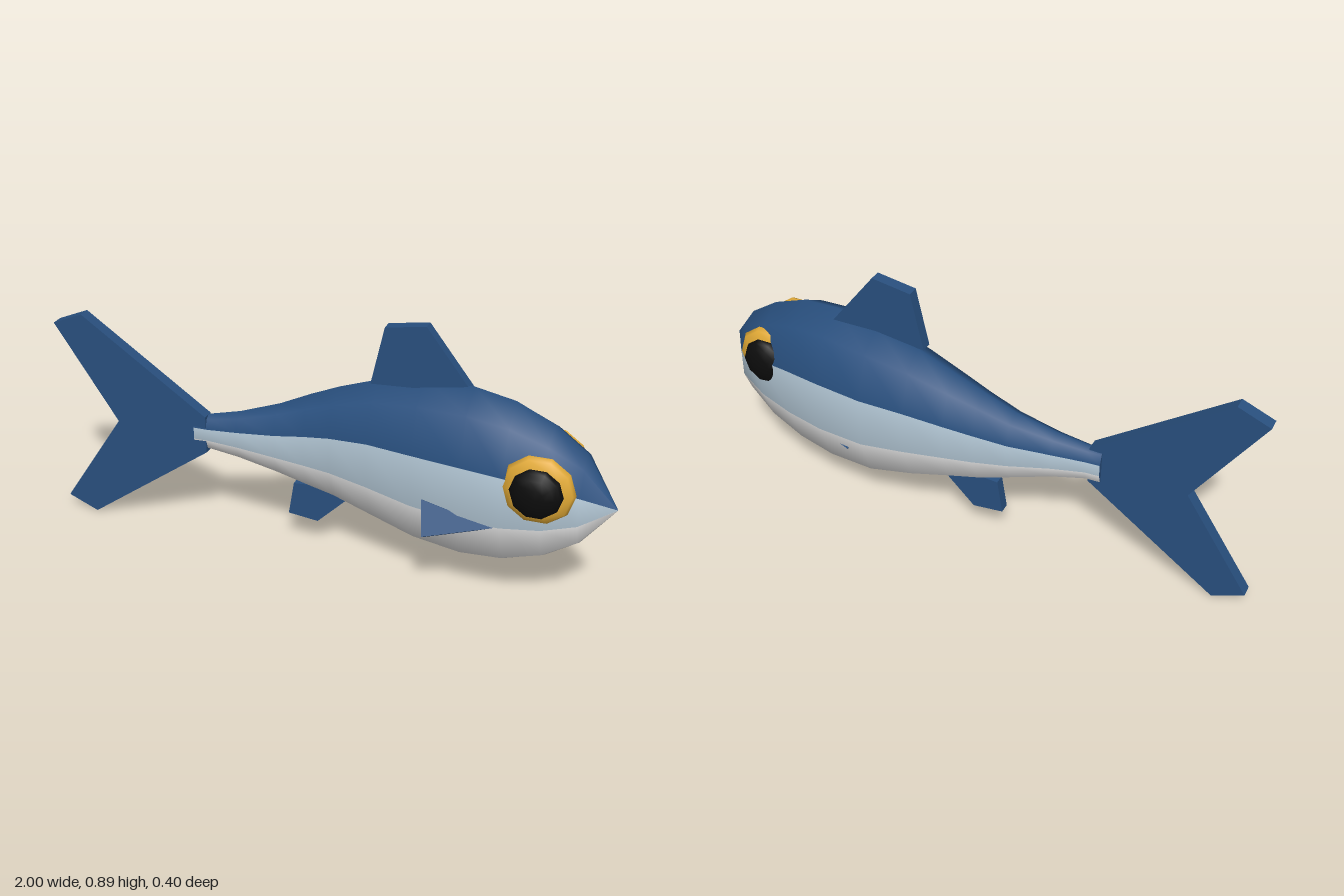
import * as THREE from 'three';

const mat = (name, color) => {
  const m = new THREE.MeshStandardMaterial({ color });
  m.name = name;
  return m;
};

export function createModel() {
  const blue = mat('deep blue', 0x29507f);
  const pale = mat('pale blue', 0xb2c6d4);
  const white = mat('belly white', 0xececec);
  const gold = mat('eye gold', 0xe2aa36);
  const black = mat('pupil black', 0x0c0c0c);

  const fish = new THREE.Group();
  fish.name = 'fish';
  const add = (name, geometry, material, parent = fish) => {
    const mesh = new THREE.Mesh(geometry, material);
    mesh.name = name;
    parent.add(mesh);
    return mesh;
  };

  // Body stations from tail to nose: x, top y, bottom y, centre z, half width
  const stations = [
    [-0.48, 0.463, 0.325, -0.034, 0.032],
    [-0.43, 0.462, 0.325, -0.036, 0.033],
    [-0.32, 0.485, 0.303, -0.048, 0.046],
    [-0.18, 0.53, 0.262, -0.065, 0.068],
    [-0.07, 0.58, 0.227, -0.073, 0.086],
    [0.03, 0.622, 0.203, -0.075, 0.106],
    [0.17, 0.673, 0.158, -0.069, 0.13],
    [0.33, 0.703, 0.112, -0.055, 0.15],
    [0.5, 0.716, 0.102, -0.03, 0.161],
    [0.64, 0.697, 0.121, -0.011, 0.153],
    [0.77, 0.643, 0.17, 0.003, 0.132],
    [0.88, 0.567, 0.246, 0.015, 0.096],
    [0.995, 0.418, 0.416, 0.07, 0.001],
  ];
  const sides = 10;
  const positions = [];
  for (const [x, top, bottom, z, w] of stations) {
    for (let k = 0; k < sides; k++) {
      const a = (k / sides) * Math.PI * 2;
      positions.push(
        x,
        (top + bottom) / 2 + ((top - bottom) / 2) * Math.cos(a),
        z + (w / 0.951) * Math.sin(a)
      );
    }
  }
  // Back, flank and belly are bands of the ring sides
  const bands = [[0, 1, 8, 9], [2, 7], [3, 4, 5, 6]];
  const index = [];
  const body = new THREE.BufferGeometry();
  bands.forEach((band, material) => {
    const start = index.length;
    for (let i = 0; i < stations.length - 1; i++) {
      for (const k of band) {
        const a = i * sides + k;
        const b = i * sides + ((k + 1) % sides);
        index.push(a, b, b + sides, a, b + sides, a + sides);
      }
    }
    body.addGroup(start, index.length - start, material);
  });
  body.setAttribute('position', new THREE.Float32BufferAttribute(positions, 3));
  body.setIndex(index);
  body.computeVertexNormals();
  add('body', body, [blue, pale, white]);

  // Closed end of the body
  const cap = new THREE.CircleGeometry(1, sides, Math.PI / 2);
  cap.scale(0.0335, 0.069, 1).rotateY(-Math.PI / 2).translate(-0.48, 0.394, -0.034);
  add('tailStub', cap, blue);

  // Flat upright fins: outline in x, y and the z range
  const fin = (name, points, z0, z1) => {
    const shape = new THREE.Shape(points.map(([x, y]) => new THREE.Vector2(x, y)));
    const g = new THREE.ExtrudeGeometry(shape, { depth: z1 - z0, bevelEnabled: false });
    add(name, g.translate(0, 0, z0), blue);
  };
  fin('tailFin', [
    [-0.435, 0.46], [-0.89, 0.778], [-1, 0.733], [-0.773, 0.39],
    [-1, 0.05], [-0.89, 0.003], [-0.435, 0.325],
  ], -0.049, -0.004);
  fin('dorsalFin', [[0.152, 0.672], [0.495, 0.69], [0.335, 0.897], [0.197, 0.875]], -0.068, -0.028);
  fin('analFin', [[-0.13, 0.235], [-0.15, 0.113], [-0.042, 0.1], [0.06, 0.2], [0.09, 0.25]], -0.092, -0.055);

  // Side fins: sloping triangular slabs, mirrored across the body
  const tilt = Math.PI / 6;
  for (const s of [1, -1]) {
    const shape = new THREE.Shape([
      new THREE.Vector2(0.377, 0.119),
      new THREE.Vector2(0.398, 0),
      new THREE.Vector2(0.625, 0.07),
    ]);
    const g = new THREE.ExtrudeGeometry(shape, { depth: 0.034, bevelEnabled: false });
    g.translate(0, 0, s > 0 ? -0.034 : 0);
    g.rotateX(-s * tilt).translate(0, 0.257, s > 0 ? 0.175 : -0.183);
    add(s > 0 ? 'leftSideFin' : 'rightSideFin', g, blue);
  }

  // Eyes: flattened low-sided spheres with their poles facing sideways
  const disc = (r, depth, z) =>
    new THREE.SphereGeometry(1, 10, 8).rotateX(Math.PI / 2).scale(r, r, depth).translate(0, 0, z);
  for (const s of [1, -1]) {
    const eye = new THREE.Group();
    eye.name = s > 0 ? 'leftEye' : 'rightEye';
    eye.position.set(0.752, 0.472, s > 0 ? 0.125 : -0.084);
    add('iris', disc(0.12, 0.04, 0), gold, eye);
    add('pupil', disc(0.086, 0.044, s * 0.028), black, eye);
    fish.add(eye);
  }
  return fish;
}
